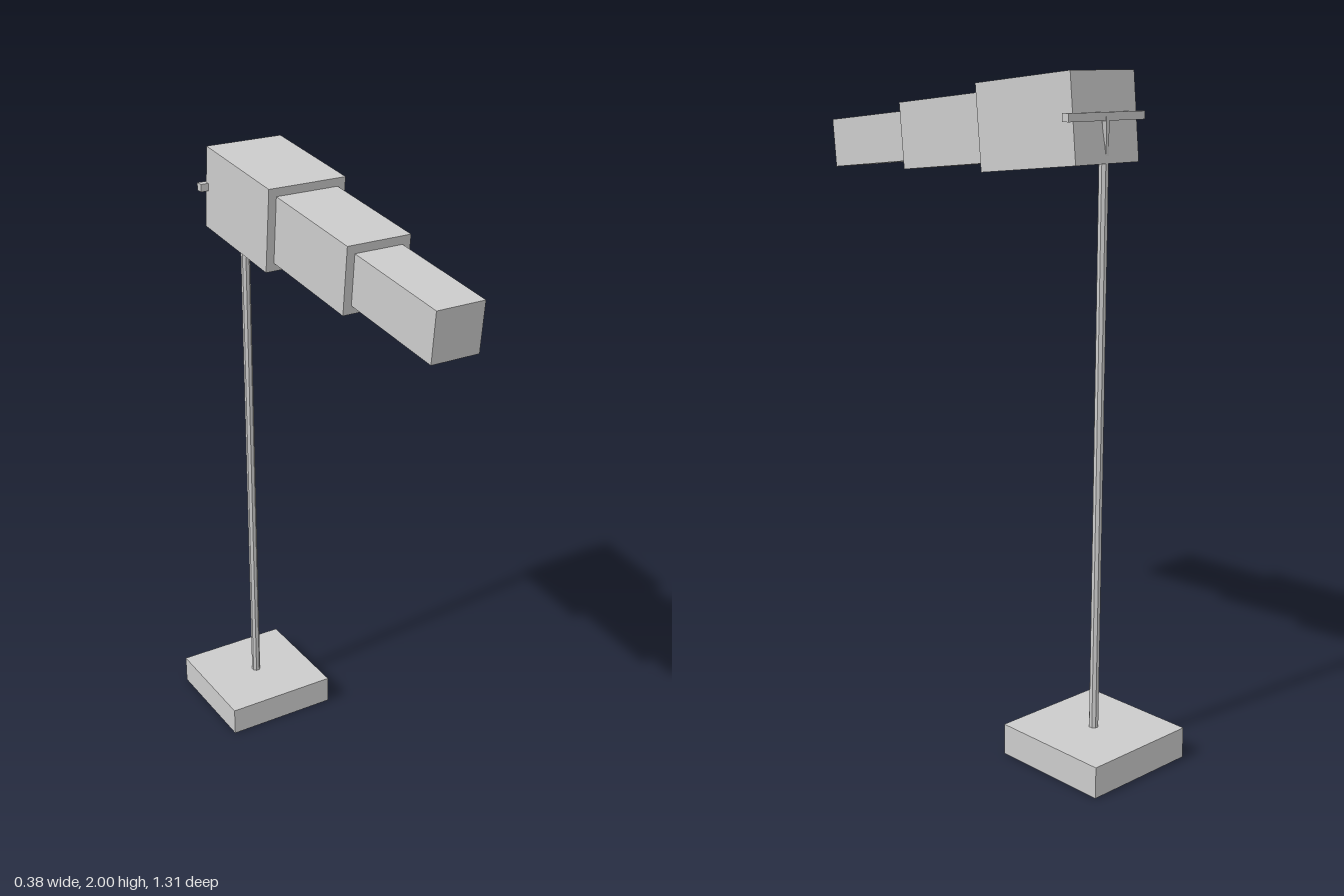
import * as THREE from 'three';

export function createModel() {
  const model = new THREE.Group();
  const grey = new THREE.MeshStandardMaterial({ color: 0xcccccc });
  grey.name = 'lightGrey';
  grey.flatShading = true;

  const add = (name, geometry, parent, x, y, z) => {
    const mesh = new THREE.Mesh(geometry, grey);
    mesh.name = name;
    mesh.position.set(x, y, z);
    parent.add(mesh);
    return mesh;
  };

  const poleZ = -0.469;
  const poleTop = 1.889;
  const baseHeight = 0.094;

  // Square foot, slim pole and the crossbar at its top
  add('base', new THREE.BoxGeometry(0.376, baseHeight, 0.376), model, 0, baseHeight / 2, poleZ);
  const poleHeight = poleTop - 0.012 - baseHeight;
  const pole = add('pole', new THREE.CylinderGeometry(0.0145, 0.0145, poleHeight, 8), model,
    0, baseHeight + poleHeight / 2, poleZ);
  pole.rotation.y = Math.PI / 8;
  add('crossbar', new THREE.BoxGeometry(0.3, 0.023, 0.024), model, 0, poleTop - 0.0115, poleZ);

  // Drooping sock of three stepped sections, hung from the crossbar
  const sock = new THREE.Group();
  sock.name = 'windsock';
  sock.position.set(0, 1.8756, -0.472);
  sock.rotation.x = 0.1;
  model.add(sock);
  const length = 0.376;
  [['largeSection', 0.25], ['middleSection', 0.2], ['smallSection', 0.15]].forEach(([name, size], i) => {
    add(name, new THREE.BoxGeometry(size, size, length), sock, 0, 0, length * (i + 0.5));
  });

  return model;
}
